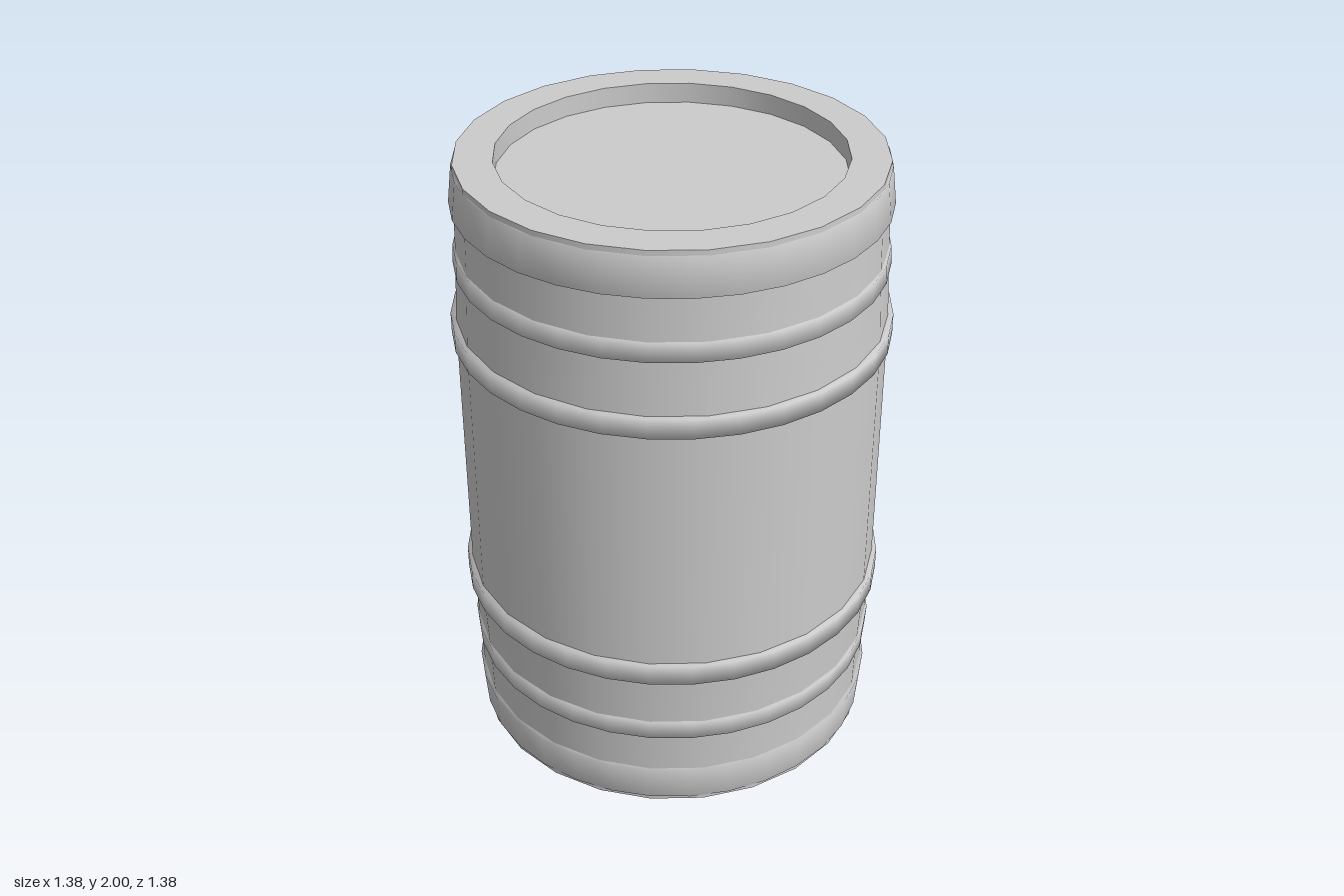
import * as THREE from 'three';

const material = new THREE.MeshStandardMaterial({ color: 0xcccccc });

// Surface of revolution from [radius, y] pairs, listed bottom to top
function turn(name, profile, sides) {
  const points = profile.map(([r, y]) => new THREE.Vector2(r, y));
  const mesh = new THREE.Mesh(new THREE.LatheGeometry(points, sides), material);
  mesh.name = name;
  return mesh;
}

// Hoop around the body, with a softly shaded rim
function hoop(name, y0, y1, r0, r1) {
  return turn(name, [[0.635, y0], [r0, y0], [r1, y1], [0.635, y1]], 32);
}

// Recessed end: floor, wall and flat rim as separate pieces so edges stay sharp
function recessedEnd(name, y, inward) {
  const group = new THREE.Group();
  group.name = name;
  const floor = y + inward * 0.065;
  const pieces = {
    Floor: [[0, floor], [0.535, floor]],
    Wall: [[0.535, floor], [0.535, y]],
    Rim: [[0.535, y], [0.655, y]],
  };
  for (const [part, profile] of Object.entries(pieces)) {
    if (inward < 0) profile.reverse();
    group.add(turn(name + part, profile, 24));
  }
  return group;
}

export function createModel() {
  const barrel = new THREE.Group();
  barrel.name = 'barrel';

  // Staves: straight middle tapering slightly to both ends
  barrel.add(turn('lowerBody', [[0.655, 0], [0.662, 0.28], [0.675, 0.55]], 24));
  barrel.add(turn('middleBody', [[0.675, 0.55], [0.675, 1.45]], 24));
  barrel.add(turn('upperBody', [[0.675, 1.45], [0.662, 1.72], [0.655, 2]], 24));

  // Hoops
  barrel.add(
    hoop('bottomHoop', 0.015, 0.135, 0.659, 0.669),
    hoop('lowerHoop', 0.275, 0.34, 0.668, 0.672),
    hoop('lowerMiddleHoop', 0.515, 0.585, 0.69, 0.69),
    hoop('upperMiddleHoop', 1.42, 1.485, 0.69, 0.69),
    hoop('upperHoop', 1.66, 1.72, 0.672, 0.669),
    hoop('topHoop', 1.863, 1.983, 0.673, 0.659),
  );

  // Ends
  barrel.add(recessedEnd('bottomEnd', 0, 1), recessedEnd('topEnd', 2, -1));
  return barrel;
}
